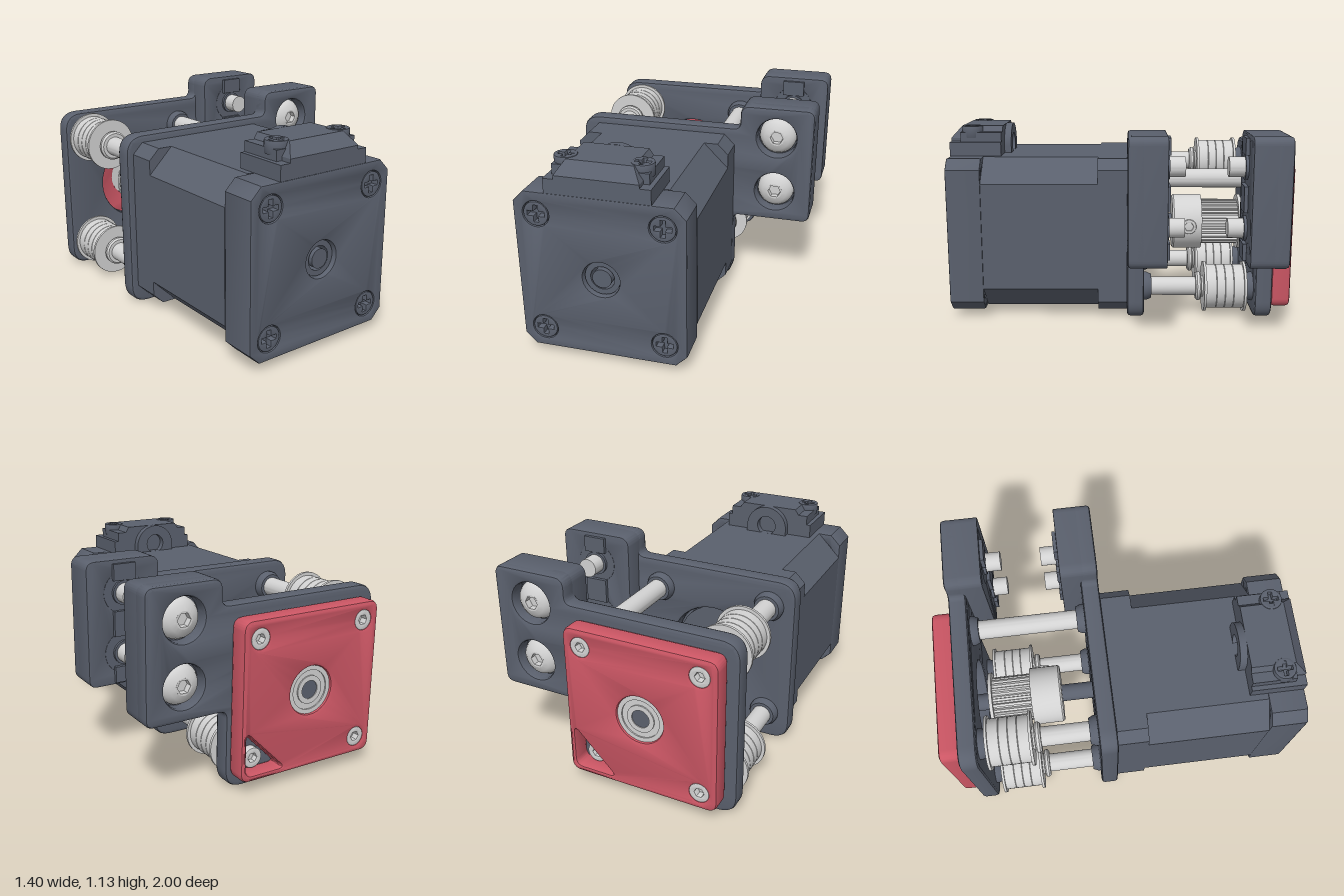
import * as THREE from 'three';
import { toCreasedNormals } from 'three/addons/utils/BufferGeometryUtils.js';
import { ConvexGeometry } from 'three/addons/geometries/ConvexGeometry.js';

const paint = (name, color) => Object.assign(new THREE.MeshStandardMaterial({ color }), { name });

export function createModel() {
  const dark = paint('slate grey', 0x5a606d);
  const red = paint('red', 0xcb5664);
  const silver = paint('silver', 0xd2d2d2);

  const model = new THREE.Group();
  model.name = 'motorDrive';
  const CX = -0.21, CY = 0.5, MID = -0.465;

  const add = (name, geo, mat, parent = model) => {
    const mesh = new THREE.Mesh(geo, mat);
    mesh.name = name;
    parent.add(mesh);
    return mesh;
  };

  // ---- shape helpers ----
  const circle = (r, x = 0, y = 0) => new THREE.Shape().absarc(x, y, r, 0, Math.PI * 2);
  const poly = (pts) => new THREE.Shape(pts.map(([x, y]) => new THREE.Vector2(x, y)));
  const ngon = (n, r) => poly(Array.from({ length: n }, (_, i) =>
    [r * Math.cos(i * 2 * Math.PI / n), r * Math.sin(i * 2 * Math.PI / n)]));
  const cross = (a, w) => poly([[a, -w], [a, w], [w, w], [w, a], [-w, a], [-w, w],
    [-a, w], [-a, -w], [-w, -w], [-w, -a], [w, -a], [w, -w]]);
  const octagon = (c) => {
    const h = 0.45, k = h - c;
    return poly([[h, -k], [h, k], [k, h], [-k, h], [-h, k], [-h, -k], [-k, -h], [k, -h]]
      .map(([x, y]) => [x + CX, y + CY]));
  };
  // polygon of [x, y, radius] with rounded corners
  const rounded = (pts) => {
    const s = new THREE.Shape();
    pts.forEach(([x, y, r], i) => {
      const p = new THREE.Vector2(x, y);
      const toward = (q) => new THREE.Vector2(q[0], q[1]).sub(p).setLength(r).add(p);
      const a = toward(pts[(i + pts.length - 1) % pts.length]);
      const b = toward(pts[(i + 1) % pts.length]);
      if (i) s.lineTo(a.x, a.y); else s.moveTo(a.x, a.y);
      s.quadraticCurveTo(x, y, b.x, b.y);
    });
    s.closePath();
    return s;
  };
  const extrude = (shape, za, zb, bevel = 0, holes = []) => {
    shape.holes.push(...holes);
    const z0 = Math.min(za, zb), z1 = Math.max(za, zb);
    const geo = new THREE.ExtrudeGeometry(shape, {
      depth: z1 - z0 - 2 * bevel, bevelEnabled: bevel > 0, bevelThickness: bevel,
      bevelSize: bevel, bevelOffset: -bevel, bevelSegments: 2, curveSegments: 16,
    });
    geo.translate(0, 0, z0 + bevel);
    return toCreasedNormals(geo, 0.6);
  };
  // solid of revolution about z from [radius, z] points, z rising
  const turned = (pts, x = 0, y = 0) => {
    const geo = new THREE.LatheGeometry(pts.map(([r, z]) => new THREE.Vector2(r, z)), 36);
    geo.rotateX(Math.PI / 2).translate(x, y, 0);
    return toCreasedNormals(geo, 0.6);
  };
  const rod = (r, za, zb, x, y) => {
    const z0 = Math.min(za, zb), z1 = Math.max(za, zb);
    return turned([[0, z0], [r, z0], [r, z1], [0, z1]], x, y);
  };
  // flat screw head with a socket, facing local +z
  const screwHead = (name, r, h, socket, mat) => {
    const g = new THREE.Group();
    g.name = name;
    add('head', extrude(circle(r), 0, h, 0.006, [socket]), mat, g);
    add('socketFloor', rod(r * 0.9, 0.001, h * 0.35, 0, 0), mat, g);
    model.add(g);
    return g;
  };
  const corners = [[-0.54, 0.83], [0.12, 0.83], [-0.54, 0.165], [0.12, 0.165]];

  // ---- motor ----
  add('motorBody', extrude(octagon(0.14), 0.13, 0.8), dark);
  add('motorFlange', extrude(octagon(0.06), -0.04, 0.13), dark);
  add('motorEndCap', extrude(octagon(0.06), 0.8, 1, 0.008,
    [circle(0.1, CX, CY), ...corners.map(([x, y]) => circle(0.07, x, y))]), dark);
  add('rearBearing', extrude(circle(0.095, CX, CY), 0.85, 0.975, 0, [circle(0.065, CX, CY)]), dark);
  add('rearShaft', rod(0.052, 0.82, 0.985, CX, CY), dark);
  corners.forEach(([x, y]) =>
    screwHead('motorScrew', 0.067, 0.06, cross(0.045, 0.012), dark).position.set(x, y, 0.938));
  add('pilotRing', extrude(circle(0.235, CX, CY), -0.08, -0.03), dark);

  // ---- cable connector on the motor ----
  add('connectorBase', new THREE.BoxGeometry(0.555, 0.08, 0.3), dark).position.set(CX, 0.99, 0.85);
  add('connectorShoulder', new THREE.BoxGeometry(0.505, 0.06, 0.24), dark).position.set(CX, 1.055, 0.82);
  const hull = [];
  for (const s of [-1, 1]) {
    for (const z of [0.7, 1]) hull.push([s * 0.22, 0.95, z], [s * 0.22, 1.05, z]);
    for (const z of [0.7, 0.94]) hull.push([s * 0.175, 1.118, z]);
  }
  add('connectorHood', new ConvexGeometry(hull.map(([x, y, z]) => new THREE.Vector3(x + CX, y, z))), dark);
  const arch = poly([[CX - 0.13, 0.95], [CX + 0.13, 0.95], [CX + 0.13, 0.99]]);
  arch.absarc(CX, 0.99, 0.13, 0, Math.PI);
  add('cableOutlet', extrude(arch, 0.66, 0.7, 0, [circle(0.06, CX, 1)]), dark);
  for (const s of [-1, 1]) {
    const screw = screwHead('connectorScrew', 0.06, 0.07, cross(0.04, 0.01), dark);
    screw.rotation.x = -Math.PI / 2;
    screw.position.set(CX + s * 0.2, 1.052, 0.875);
  }

  // ---- two mirrored mounting plates, each with a thick ear ----
  const EX = 0.485, earScrews = [0.95, 0.615];
  const idlers = [[-0.55, 0.84], [-0.55, 0.165], [0.09, 0.165]];
  const posts = [...idlers, [0.12, 0.83]];
  for (const s of [1, -1]) {
    const z = (t) => MID + s * (0.425 - t); // t = depth inward from the outer face
    const side = s > 0 ? 'front' : 'back';
    const bores = () => earScrews.map((y) => circle(0.115, EX, y));
    const outline = rounded([[-0.7, 0, 0.11], [0.24, 0, 0.11], [0.24, 0.435, 0.04], [0.7, 0.435, 0.05],
      [0.7, 1.13, 0.05], [0.27, 1.13, 0.06], [0.27, 0.99, 0.04], [-0.7, 0.99, 0.11]]);
    add(side + 'Plate', extrude(outline, z(0), z(0.1), 0.018, [circle(0.25, CX, CY), ...bores()]), dark);
    const ear = rounded([[0.27, 0.435, 0.03], [0.7, 0.435, 0.05], [0.7, 1.13, 0.05], [0.27, 1.13, 0.06]]);
    add(side + 'Ear', extrude(ear, z(0.025), z(0.21), 0.006, bores()), dark);

    for (const y of earScrews) {
      add('boreFloor', rod(0.116, z(0.075), z(0.209), EX, y), dark);
      add('screwCollar', rod(0.068, z(0.2), z(0.225), EX, y), dark);
      add('screwTip', rod(0.054, z(0.2), z(0.31), EX, y), silver);
      // domed button head with a hex socket
      const g = new THREE.Group();
      g.name = 'buttonScrew';
      add('dome', turned([[0.108, 0], [0.106, 0.015], [0.094, 0.038], [0.072, 0.056], [0.044, 0.066]]), silver, g);
      add('socketRim', extrude(circle(0.045), 0.02, 0.066, 0, [ngon(6, 0.038)]), silver, g);
      add('socketFloor', rod(0.044, 0.01, 0.03, 0, 0), silver, g);
      g.position.set(EX, y, z(0.075));
      if (s < 0) g.rotation.y = Math.PI;
      model.add(g);
    }
    // raised pads on the inner ear face
    for (const [y, h] of [[1.065, 0.09], [0.7825, 0.14], [0.495, 0.09]])
      add('earPad', new THREE.BoxGeometry(0.13, h, 0.03), dark).position.set(EX, y, z(0.215));
    // bosses that hold the posts
    for (const [x, y] of posts) {
      const p = [[0.085, z(0.09)], [0.085, z(0.115)], [0.072, z(0.145)], [0, z(0.145)]];
      add('postBoss', turned(s > 0 ? p.reverse() : p, x, y), dark);
    }
  }

  // ---- posts and idler pulleys ----
  add('spacerPost', rod(0.055, -0.76, -0.17, 0.12, 0.83), silver);
  for (const [x, y] of idlers) {
    add('idlerPost', rod(0.055, -0.48, -0.17, x, y), silver);
    add('idlerPulley', turned([[0, -0.75], [0.075, -0.75], [0.075, -0.745], [0.15, -0.745], [0.15, -0.73],
      [0.132, -0.73], [0.132, -0.672], [0.128, -0.67], [0.132, -0.668], [0.132, -0.622], [0.128, -0.62],
      [0.132, -0.618], [0.132, -0.572], [0.128, -0.57], [0.132, -0.568], [0.132, -0.51], [0.15, -0.51],
      [0.15, -0.495], [0.065, -0.495], [0.065, -0.485], [0.08, -0.482], [0.085, -0.475], [0.085, -0.46],
      [0.075, -0.45], [0, -0.45]], x, y), silver);
  }

  // ---- motor shaft and toothed drive pulley ----
  add('driveShaft', rod(0.05, -0.98, -0.03, CX, CY), dark);
  add('pulleyHub', turned([[0, -0.5], [0.17, -0.5], [0.17, -0.33], [0.16, -0.32], [0, -0.32]], CX, CY), silver);
  const teeth = [];
  for (let i = 0; i < 26; i++)
    for (const [f, r] of [[0, 0.122], [0.35, 0.122], [0.45, 0.14], [0.9, 0.14]]) {
      const a = (i + f) * 2 * Math.PI / 26;
      teeth.push([CX + r * Math.cos(a), CY + r * Math.sin(a)]);
    }
  add('pulleyTeeth', extrude(poly(teeth), -0.73, -0.49), silver);
  add('pulleyFlange', rod(0.17, -0.745, -0.725, CX, CY), silver);
  const setScrew = screwHead('setScrew', 0.045, 0.03, ngon(6, 0.028), silver);
  setScrew.rotation.y = Math.PI / 2;
  setScrew.position.set(CX + 0.147, CY, -0.42);

  // ---- red bearing cover ----
  const cover = rounded([[-0.64, 0.07, 0.06], [0.22, 0.07, 0.06], [0.22, 0.93, 0.06], [-0.64, 0.93, 0.06]]);
  const notch = rounded([[-0.05, 0.105, 0.03], [0.185, 0.105, 0.04], [0.185, 0.34, 0.03]]);
  const coverScrews = corners.slice(0, 3);
  add('bearingCover', extrude(cover, -1, -0.888, 0.02,
    [circle(0.13, CX, CY), notch, ...coverScrews.map(([x, y]) => circle(0.05, x, y))]), red);
  for (const [x, y] of coverScrews) {
    const screw = screwHead('coverScrew', 0.056, 0.06, ngon(6, 0.026), silver);
    screw.rotation.y = Math.PI;
    screw.position.set(x, y, -0.935);
  }
  const idlerScrew = screwHead('idlerScrew', 0.056, 0.05, ngon(6, 0.026), silver);
  idlerScrew.rotation.y = Math.PI;
  idlerScrew.position.set(0.1, 0.165, -0.88);
  add('bearingOuterRing', extrude(circle(0.138, CX, CY), -0.985, -0.9, 0, [circle(0.108, CX, CY)]), silver);
  add('bearingShield', extrude(circle(0.11, CX, CY), -0.978, -0.905, 0, [circle(0.075, CX, CY)]), silver);
  add('bearingInnerRing', extrude(circle(0.077, CX, CY), -0.985, -0.9, 0, [circle(0.05, CX, CY)]), silver);

  return model;
}
